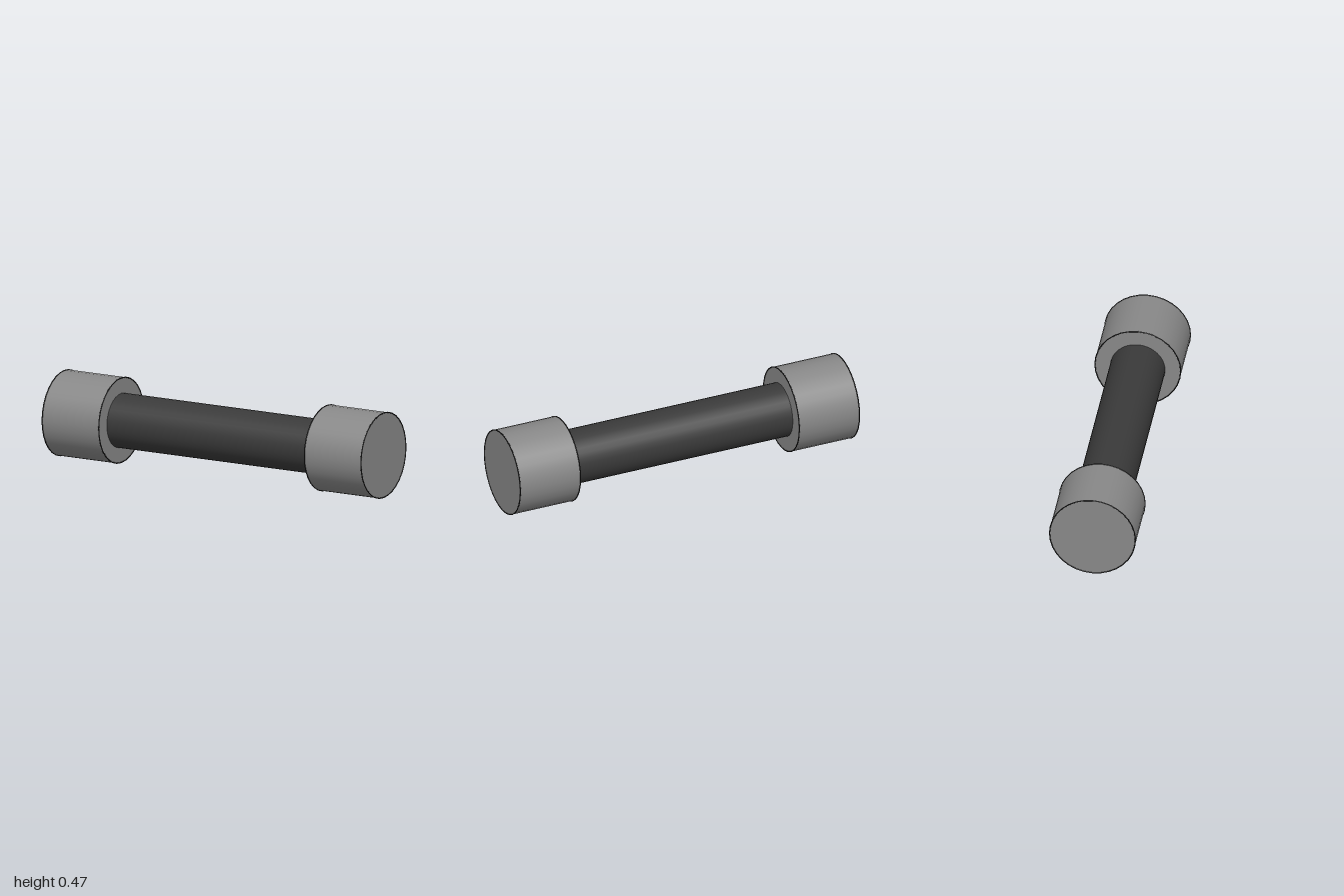
import * as THREE from 'three';

const AXIS_Y = 0.235;      // height of the bar's axis
const HEAD_RADIUS = 0.232;
const EDGE = 0.003;        // thickness of the thin edge rings
const INNER = 0.64, OUTER = 1;

function material(name, color) {
  const m = new THREE.MeshStandardMaterial({ color });
  m.name = name;
  return m;
}

// Cylinder lying along x
function rod(name, radius, x0, x1, mat) {
  const geometry = new THREE.CylinderGeometry(radius, radius, x1 - x0, 32);
  geometry.rotateZ(Math.PI / 2);
  const mesh = new THREE.Mesh(geometry, mat);
  mesh.name = name;
  mesh.position.x = (x0 + x1) / 2;
  return mesh;
}

// Thin ring around a head's edge
function edgeRing(name, x, mat) {
  const geometry = new THREE.TorusGeometry(HEAD_RADIUS, EDGE, 8, 32);
  geometry.rotateY(Math.PI / 2);
  const mesh = new THREE.Mesh(geometry, mat);
  mesh.name = name;
  mesh.position.x = x;
  return mesh;
}

export function createModel() {
  const steel = material('grey steel', 0x888888);
  const grip = material('dark grip', 0x3a3a3a);
  const edge = material('black edge', 0x222222);

  const model = new THREE.Group();
  model.name = 'dumbbell';
  const body = new THREE.Group();
  body.name = 'body';
  body.position.y = AXIS_Y;
  model.add(body);

  // Handle between the two heads
  body.add(rod('handle', 0.148, -INNER - 0.02, INNER + 0.02, grip));

  // Matching heads, each with a ring at both edges
  for (const [side, s] of [['left', 1], ['right', -1]]) {
    const head = new THREE.Group();
    head.name = side + 'Head';
    const a = s * (INNER + EDGE), b = s * (OUTER - EDGE);
    head.add(
      rod(side + 'Weight', HEAD_RADIUS, Math.min(a, b), Math.max(a, b), steel),
      edgeRing(side + 'InnerEdge', a, edge),
      edgeRing(side + 'OuterEdge', b, edge),
    );
    body.add(head);
  }
  return model;
}
